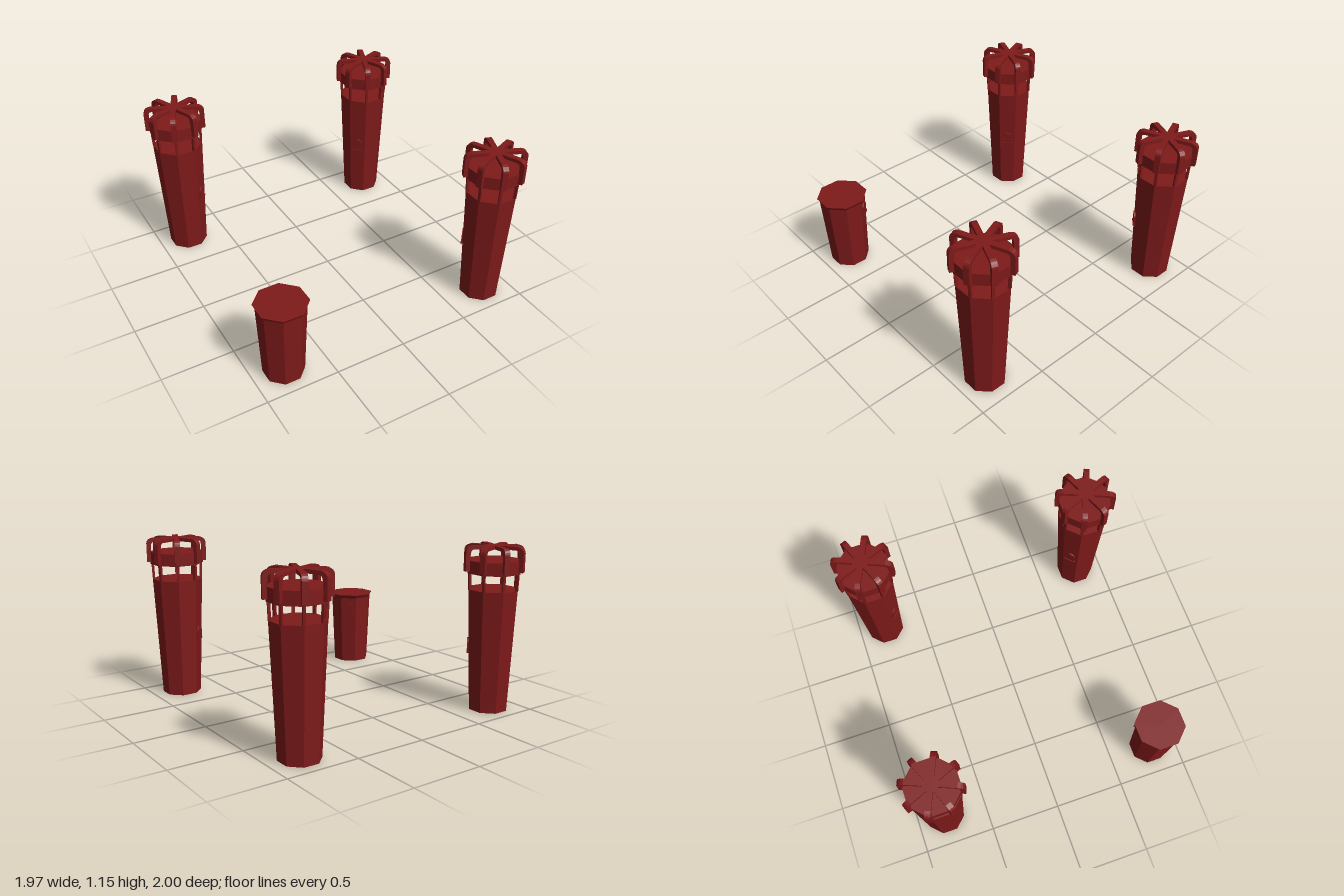
import * as THREE from 'three';

const SIDES = 8, STEP = Math.PI / 4, CORNER = Math.PI / 8;
const BASE = 0.127, SLOPE = 0.041; // half width at the ground, growth per unit of height
const LEAN = Math.atan(SLOPE);
const halfWidth = (y) => BASE + SLOPE * y;
const toRadius = (half) => half / Math.cos(CORNER);

const red = new THREE.MeshStandardMaterial({ color: 0x7f1a1a, flatShading: true });
const redDouble = red.clone();
redDouble.side = THREE.DoubleSide;

function add(parent, name, geometry, material = red) {
  const mesh = new THREE.Mesh(geometry, material);
  mesh.name = name;
  parent.add(mesh);
  return mesh;
}

// Octagonal prism between two heights, flat sides facing the axes
function octagon(halfBottom, halfTop, y0, y1, open = false) {
  return new THREE.CylinderGeometry(toRadius(halfTop), toRadius(halfBottom), y1 - y0, SIDES, 1, open)
    .rotateY(CORNER).translate(0, (y0 + y1) / 2, 0);
}

// Curved rib: upright at the rim, rounded over and flat towards the middle
function ribGeometry() {
  const width = 0.038;
  const s = new THREE.Shape();
  s.moveTo(0.177, 0.975);
  s.lineTo(0.209, 0.975);
  s.lineTo(0.209, 1.105);
  s.quadraticCurveTo(0.207, 1.138, 0.165, 1.146);
  s.lineTo(0, 1.146);
  s.lineTo(0, 1.122);
  s.lineTo(0.155, 1.122);
  s.quadraticCurveTo(0.176, 1.118, 0.177, 1.09);
  s.closePath();
  return new THREE.ExtrudeGeometry(s, { depth: width, bevelEnabled: false, curveSegments: 4 })
    .translate(0, 0, -width / 2);
}

// Small arched window with a sill, on the face towards the middle of the square
function addWindow(tower, angle) {
  const y = 0.405, w = 0.036;
  const s = new THREE.Shape();
  s.moveTo(-w, 0);
  s.lineTo(w, 0);
  s.lineTo(w, 0.06);
  s.absarc(0, 0.06, w, 0, Math.PI, false);
  s.closePath();
  const group = new THREE.Group();
  group.name = 'window';
  group.rotation.y = angle;
  const panel = new THREE.Group();
  panel.position.set(0, y, halfWidth(y));
  panel.rotation.x = LEAN;
  group.add(panel);
  add(panel, 'windowArch', new THREE.ExtrudeGeometry(s, { depth: 0.014, bevelEnabled: false, curveSegments: 6 })
    .translate(0, 0, -0.004));
  add(panel, 'windowSill', new THREE.BoxGeometry(0.084, 0.008, 0.022).translate(0, 0, 0.004));
  tower.add(group);
}

// Full tower: hollow shaft, open gallery on posts, drum and ribbed crown
function tallTower() {
  const tower = new THREE.Group();
  tower.name = 'tallTower';
  const deckY = 0.85, drumY = 0.96, drumTop = 1.048;
  add(tower, 'shaft', octagon(BASE, halfWidth(deckY), 0, deckY, true), redDouble);
  add(tower, 'galleryDeck', new THREE.CircleGeometry(toRadius(halfWidth(deckY)), SIDES)
    .rotateX(-Math.PI / 2).rotateY(CORNER).translate(0, deckY, 0), redDouble);
  add(tower, 'drum', octagon(0.172, 0.175, drumY, drumTop));

  const rib = ribGeometry();
  const post = new THREE.BoxGeometry(0.018, drumY - deckY + 0.01, 0.018)
    .rotateZ(-LEAN).translate(toRadius(halfWidth(0.905)) - 0.009, (deckY + drumY) / 2, 0);
  for (let i = 0; i < SIDES; i++) {
    const angle = CORNER + i * STEP;
    add(tower, 'galleryPost', post).rotation.y = angle;
    add(tower, 'crownRib', rib).rotation.y = angle;
  }
  return tower;
}

// Short tower: solid shaft under a thin flared cap
function shortTower() {
  const tower = new THREE.Group();
  tower.name = 'shortTower';
  add(tower, 'shaft', octagon(BASE, halfWidth(0.54), 0, 0.54));
  add(tower, 'flaredCap', octagon(halfWidth(0.54), 0.164, 0.54, 0.565));
  return tower;
}

export function createModel() {
  const model = new THREE.Group();
  model.name = 'fourTowers';
  for (const sx of [-1, 1]) {
    for (const sz of [-1, 1]) {
      const tower = sx < 0 && sz > 0 ? shortTower() : tallTower();
      addWindow(tower, Math.atan2(-sx, -sz));
      tower.position.set(sx * 0.786, 0, sz * 0.8);
      model.add(tower);
    }
  }
  return model;
}
